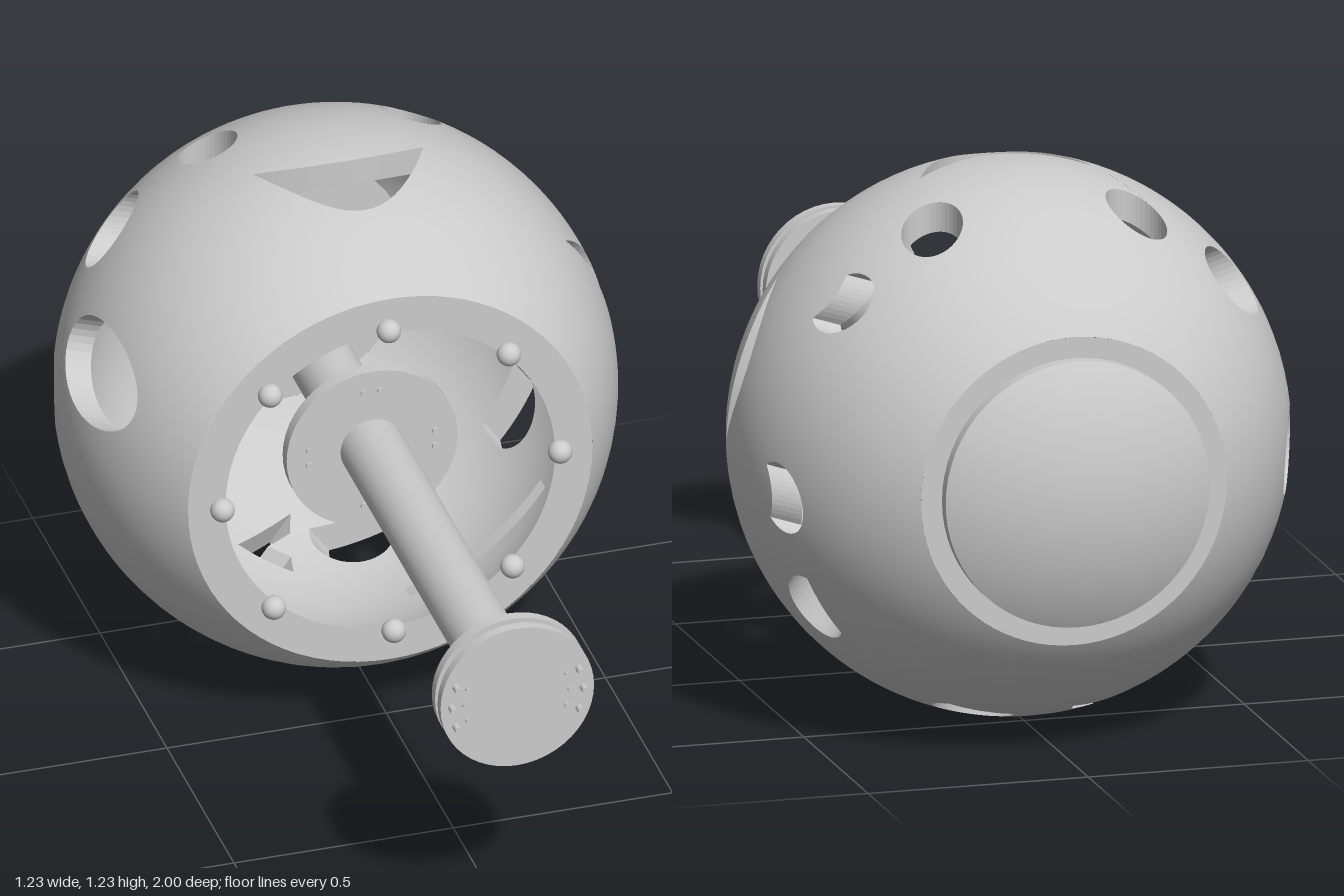
import * as THREE from 'three';

const grey = new THREE.MeshStandardMaterial({ color: 0xcccccc });
const greyDouble = new THREE.MeshStandardMaterial({ color: 0xcccccc, side: THREE.DoubleSide });
const CY = 0.62, CZ = -0.38;            // centre of the ball
const R_OUT = 0.617, R_IN = 0.556;      // shell radii
const FRONT = 0.41, BACK_OUT = -0.51, BACK_IN = -0.46; // flat cuts, from the ball centre
const STEP = 0.05;
const V = (x, y) => new THREE.Vector2(x, y);

// ---- cutout outlines in a flat plane: x = across the face, y = towards the opening ----
function ellipse(x, y, rx, ry) {
  return new THREE.EllipseCurve(x, y, rx, ry).getPoints(40).slice(0, -1);
}
function crescent(half, tip, inner, outer) {
  const arc = (a, b, mid) => new THREE.QuadraticBezierCurve(V(a, tip), V(0, 2 * mid - tip), V(b, tip)).getPoints(20).slice(0, -1);
  return [...arc(-half, half, outer), ...arc(half, -half, inner)];
}
function cutCircle(x, y, r, from, to, bite) {
  const pts = new THREE.EllipseCurve(x, y, r, r, from, to).getPoints(32);
  const close = new THREE.QuadraticBezierCurve(pts[32], V(x, bite), pts[0]).getPoints(10);
  return [...pts, ...close.slice(1, -1)];
}
function chevron(s) {
  return [[0.27, 0.075], [0.16, 0], [0.27, -0.075], [0.27, -0.03], [0.225, 0], [0.27, 0.03]].map(([x, y]) => V(s * x, y - 0.195));
}
function zigzag(half, y, amp, thick, n) {
  const edge = (dy) => Array.from({ length: n + 1 }, (_, i) =>
    V(-half + (2 * half * i) / n, y + dy + (i % 2 ? amp : -amp)));
  return [...edge(-thick / 2), ...edge(thick / 2).reverse()];
}
const bar = (half, y0, y1) => [V(-half, y0), V(half, y0), V(half, y1), V(-half, y1)];
const pair = (make) => [make(1), make(-1)];

// five faces spaced evenly around the ball
const faces = [
  { name: 'happyFace', holes: [...pair((s) => ellipse(s * 0.232, -0.2, 0.066, 0.082)), crescent(0.195, 0.02, 0.07, 0.22)] },
  { name: 'surprisedFace', holes: [...pair((s) => ellipse(s * 0.205, -0.2, 0.09, 0.09)), ellipse(0, 0.09, 0.11, 0.165)] },
  { name: 'squintingFace', holes: [...pair(chevron), zigzag(0.19, 0.05, 0.022, 0.045, 8)] },
  { name: 'boredFace', holes: [...pair((s) => cutCircle(s * 0.22, -0.19, 0.08, -Math.PI / 6, Math.PI * 7 / 6, -0.23)), bar(0.19, 0.025, 0.065)] },
  { name: 'sadFace', holes: [...pair((s) => cutCircle(s * 0.225, -0.205, 0.072, Math.PI * 0.78, Math.PI * 2.22, -0.195)), crescent(0.19, 0.13, 0.1, 0.02)] },
];

// add points so no edge of a closed outline is longer than STEP
function dense(pts) {
  return pts.flatMap((p, i) => {
    const q = pts[(i + 1) % pts.length], n = Math.ceil(p.distanceTo(q) / (STEP * 0.8));
    return Array.from({ length: n }, (_, k) => p.clone().lerp(q, k / n));
  });
}

// outline of one fifth of a sphere, seen straight on
function sectorOutline(r, back) {
  const n = 28, side = (s) => Array.from({ length: n + 1 }, (_, i) => {
    const y = back + ((FRONT - back) * i) / n;
    return V(s * Math.sin(Math.PI / 5) * Math.sqrt(r * r - y * y), y);
  });
  return [...side(1), ...side(-1).reverse()];
}

const lift = (p, r) => new THREE.Vector3(Math.sqrt(Math.max(0, r * r - p.x * p.x - p.y * p.y)), p.x, p.y);

function geometryFrom(pos, normals) {
  const g = new THREE.BufferGeometry();
  g.setAttribute('position', new THREE.Float32BufferAttribute(pos, 3));
  if (normals) g.setAttribute('normal', new THREE.Float32BufferAttribute(normals, 3));
  else g.computeVertexNormals();
  return g;
}

// curved skin with the holes left open: triangulate flat, split long edges, lift to the sphere
function skin(r, back, holes, sign) {
  const outline = sectorOutline(r, back), all = [outline, ...holes].flat();
  const pos = [], nor = [];
  const emit = (a, b, c) => {
    const d = [a.distanceTo(b), b.distanceTo(c), c.distanceTo(a)], m = Math.max(...d);
    if (m > STEP) {
      if (m === d[1]) [a, b, c] = [b, c, a];
      else if (m === d[2]) [a, b, c] = [c, a, b];
      const mid = a.clone().add(b).multiplyScalar(0.5);
      emit(a, mid, c);
      emit(mid, b, c);
      return;
    }
    for (const p of [a, b, c]) {
      const v = lift(p, r);
      pos.push(v.x, v.y, v.z);
      v.normalize().multiplyScalar(sign);
      nor.push(v.x, v.y, v.z);
    }
  };
  for (const t of THREE.ShapeUtils.triangulateShape(outline, holes)) {
    let [a, b, c] = t.map((i) => all[i]);
    const area = (b.x - a.x) * (c.y - a.y) - (b.y - a.y) * (c.x - a.x);
    if (area * sign < 0) [b, c] = [c, b];
    emit(a, b, c);
  }
  return geometryFrom(pos, nor);
}

// straight walls of the cutouts through the shell
function walls(holes) {
  const pos = [];
  for (const h of holes) h.forEach((p, i) => {
    const q = h[(i + 1) % h.length];
    const [a, b, c, d] = [lift(p, R_OUT), lift(q, R_OUT), lift(q, R_IN), lift(p, R_IN)];
    for (const v of [a, c, b, a, d, c]) pos.push(v.x, v.y, v.z);
  });
  return geometryFrom(pos);
}

export function createModel() {
  const model = new THREE.Group();
  model.name = 'faceBallOnRod';
  const add = (parent, name, geo, x = 0, y = 0, z = 0, mat = grey) => {
    const m = new THREE.Mesh(geo, mat);
    m.name = name;
    m.position.set(x, y, z);
    parent.add(m);
    return m;
  };
  // round part along z, from z0 to z1
  const rodZ = (parent, name, r, z0, z1, x = 0, y = CY, seg = 48) =>
    add(parent, name, new THREE.CylinderGeometry(r, r, z1 - z0, seg).rotateX(Math.PI / 2), x, y, (z0 + z1) / 2);

  // hollow ball made of five face panels
  const ball = new THREE.Group();
  ball.name = 'ball';
  ball.position.set(0, CY, CZ);
  model.add(ball);
  faces.forEach((f, i) => {
    const panel = new THREE.Group(), holes = f.holes.map(dense);
    panel.name = f.name;
    panel.rotation.z = Math.PI / 2 + (i * Math.PI * 2) / 5;
    add(panel, 'outerSkin', skin(R_OUT, BACK_OUT, holes, 1));
    add(panel, 'innerSkin', skin(R_IN, BACK_IN, holes, -1));
    add(panel, 'cutoutWalls', walls(holes), 0, 0, 0, greyDouble);
    ball.add(panel);
  });
  const ringAt = (r, z) => Math.sqrt(r * r - z * z);
  add(ball, 'frontRim', new THREE.RingGeometry(ringAt(R_IN, FRONT), ringAt(R_OUT, FRONT), 80), 0, 0, FRONT);
  add(ball, 'innerBackWall', new THREE.CircleGeometry(ringAt(R_IN, BACK_IN), 64), 0, 0, BACK_IN);
  add(ball, 'outerBackWall', new THREE.CircleGeometry(ringAt(R_OUT, BACK_OUT), 64).rotateY(Math.PI), 0, 0, BACK_OUT);

  // domed cap on the back
  const capAngle = Math.asin(0.3 / R_OUT);
  rodZ(ball, 'capEdge', 0.3, -R_OUT * Math.cos(capAngle), BACK_OUT, 0, 0, 64);
  add(ball, 'capDome', new THREE.SphereGeometry(R_OUT, 64, 12, 0, Math.PI * 2, 0, capAngle).rotateX(-Math.PI / 2));

  // ball studs around the rim
  for (let i = 0; i < 8; i++) {
    const a = (i * Math.PI) / 4 + 0.015;
    add(model, 'rimStud', new THREE.SphereGeometry(0.027, 24, 16), 0.385 * Math.cos(a), CY + 0.385 * Math.sin(a), 0.038);
  }

  // rod and its end flange
  rodZ(model, 'rod', 0.072, CZ + BACK_IN, 0.92);
  rodZ(model, 'flangeBackPlate', 0.175, 0.912, 0.936);
  rodZ(model, 'flangeNeck', 0.135, 0.93, 0.96);
  rodZ(model, 'flangeFrontPlate', 0.175, 0.955, 0.978);
  for (const s of [-1, 1]) for (const k of [-1, 0, 1]) {
    rodZ(model, 'flangePin', 0.008, 0.97, 1, s * (k ? 0.14 : 0.15), CY + k * 0.05, 12);
    rodZ(model, 'flangeSmallPin', 0.006, 0.97, 0.985, s * (k ? 0.113 : 0.12), CY + k * 0.04, 12);
  }

  // inner disc with paired pins
  rodZ(model, 'innerDisc', 0.195, -0.135, -0.105);
  for (let i = 0; i < 4; i++) for (const d of [-0.13, 0.13]) {
    const a = (i * Math.PI) / 2 + d;
    rodZ(model, 'innerDiscPin', 0.008, -0.142, -0.098, 0.145 * Math.cos(a), CY + 0.145 * Math.sin(a), 12);
  }
  return model;
}
